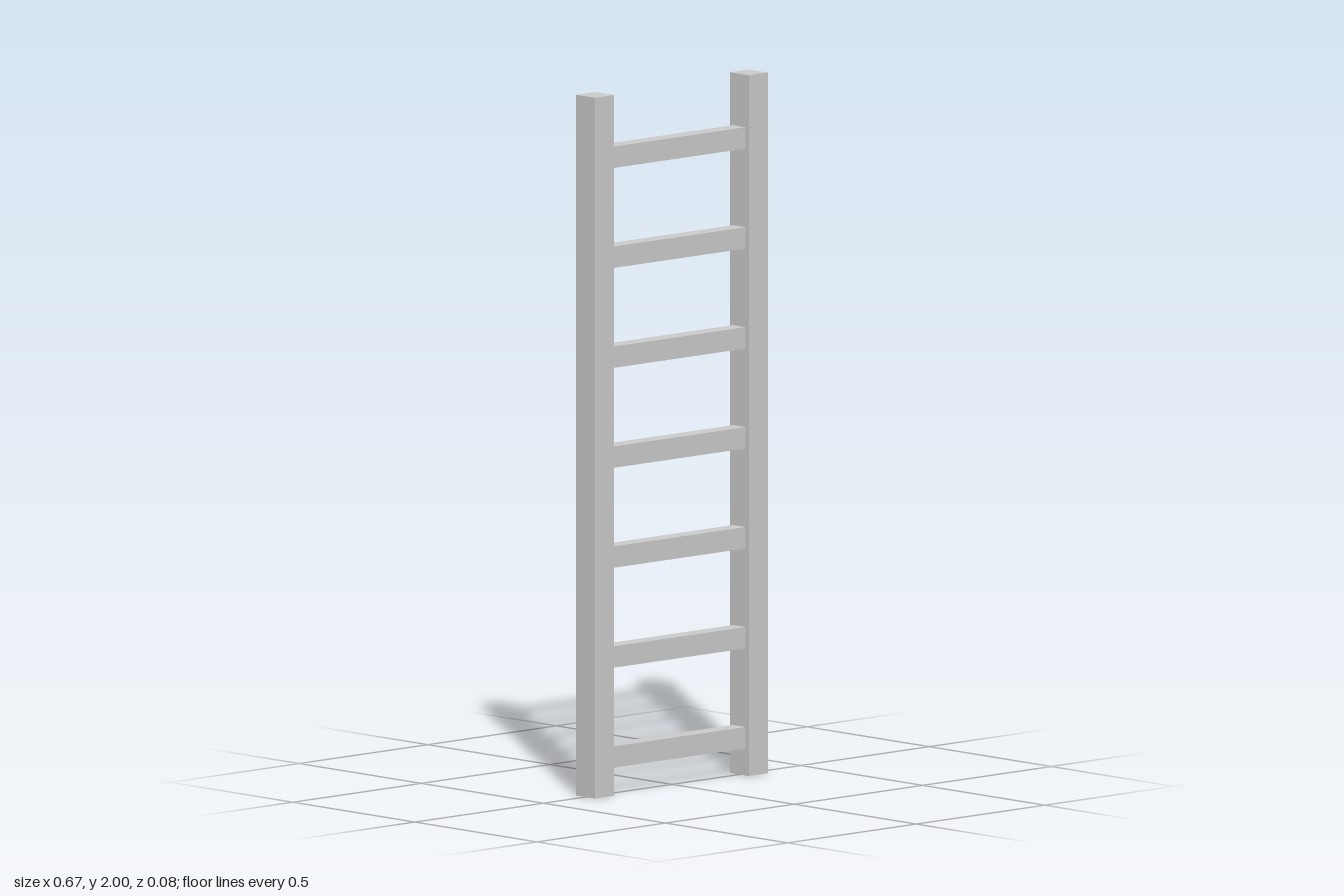
import * as THREE from 'three';

export function createModel() {
  const ladder = new THREE.Group();
  ladder.name = 'ladder';
  const material = new THREE.MeshStandardMaterial({ color: 0xcccccc, flatShading: true });

  const height = 2, railWidth = 0.074, railDepth = 0.077, railX = 0.299;
  const rungCount = 7, firstRungY = 0.108, rungStep = 0.2853;
  const rungLength = 2 * railX - railWidth;

  const addBox = (name, geometry, x, y) => {
    const mesh = new THREE.Mesh(geometry, material);
    mesh.name = name;
    mesh.position.set(x, y, 0);
    ladder.add(mesh);
  };

  // Upright side rails
  const railGeometry = new THREE.BoxGeometry(railWidth, height, railDepth);
  addBox('leftRail', railGeometry, railX, height / 2);
  addBox('rightRail', railGeometry, -railX, height / 2);

  // Evenly spaced rungs between the rails
  const rungGeometry = new THREE.BoxGeometry(rungLength, 0.061, 0.052);
  for (let i = 0; i < rungCount; i++) {
    addBox(`rung${i + 1}`, rungGeometry, 0, firstRungY + i * rungStep);
  }

  return ladder;
}
